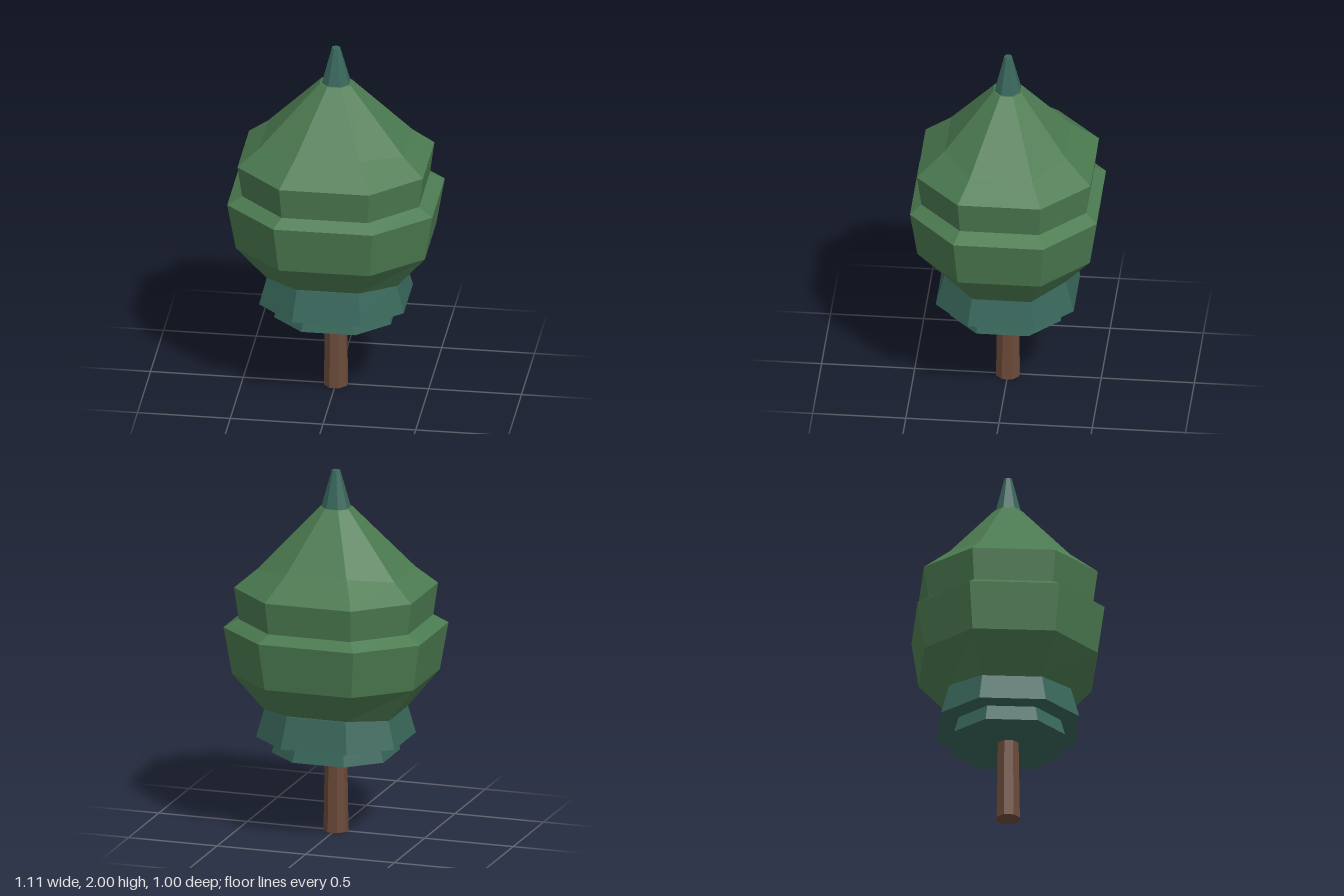
import * as THREE from 'three';

// Eight corners of a ring: side faces at x = ±hx (half-width cz, height yx),
// front/back faces at z = ±hz (half-width cx, height yz).
function ring([hx, cz, yx, hz, cx, yz = yx]) {
  return [
    [hx, yx, -cz], [hx, yx, cz], [cx, yz, hz], [-cx, yz, hz],
    [-hx, yx, cz], [-hx, yx, -cz], [-cx, yz, -hz], [cx, yz, -hz],
  ];
}

// Closed octagonal solid through a stack of rings, bottom to top.
function octagonStack(name, material, sections) {
  const rings = sections.map(ring);
  const pos = [];
  const tri = (...pts) => pts.forEach((p) => pos.push(...p));
  const last = rings[rings.length - 1];
  const middle = (r) => [0, (r[0][1] + r[2][1]) / 2, 0];
  for (let i = 0; i < 8; i++) {
    const j = (i + 1) % 8;
    for (let k = 0; k < rings.length - 1; k++) {
      const a = rings[k], b = rings[k + 1];
      tri(a[i], b[i], a[j]);
      tri(a[j], b[i], b[j]);
    }
    tri(middle(rings[0]), rings[0][i], rings[0][j]);
    tri(middle(last), last[j], last[i]);
  }
  const geometry = new THREE.BufferGeometry();
  geometry.setAttribute('position', new THREE.Float32BufferAttribute(pos, 3));
  geometry.computeVertexNormals();
  const mesh = new THREE.Mesh(geometry, material);
  mesh.name = name;
  return mesh;
}

function flat(name, color) {
  const material = new THREE.MeshStandardMaterial({ color, flatShading: true });
  material.name = name;
  return material;
}

export function createModel() {
  const bark = flat('bark brown', 0x6b4a39);
  const leaf = flat('leaf green', 0x4b7a50);
  const teal = flat('dark teal', 0x38665a);

  const tree = new THREE.Group();
  tree.name = 'tree';
  tree.add(
    octagonStack('trunk', bark, [
      [0.062, 0.026, 0, 0.062, 0.026],
      [0.055, 0.023, 0.46, 0.055, 0.023],
    ]),
    // Two flared skirts under the crown
    octagonStack('lowerSkirt', teal, [
      [0.315, 0.14, 0.44, 0.297, 0.145],
      [0.288, 0.128, 0.54, 0.27, 0.132],
    ]),
    octagonStack('upperSkirt', teal, [
      [0.39, 0.178, 0.53, 0.37, 0.186],
      [0.346, 0.158, 0.7, 0.326, 0.166],
    ]),
    // Main foliage with one step and a pointed roof
    octagonStack('crown', leaf, [
      [0.352, 0.158, 0.68, 0.324, 0.168, 0.703],
      [0.51, 0.222, 0.88, 0.463, 0.245],
      [0.553, 0.24, 1.14, 0.5, 0.268],
      [0.477, 0.212, 1.185, 0.442, 0.232],
      [0.5, 0.222, 1.36, 0.465, 0.242],
      [0.388, 0.17, 1.456, 0.322, 0.17, 1.49],
      [0.082, 0.035, 1.797, 0.075, 0.037],
    ]),
    octagonStack('tip', teal, [
      [0.075, 0.031, 1.79, 0.069, 0.034],
      [0.021, 0.009, 2, 0.02, 0.009],
    ]),
  );
  return tree;
}
